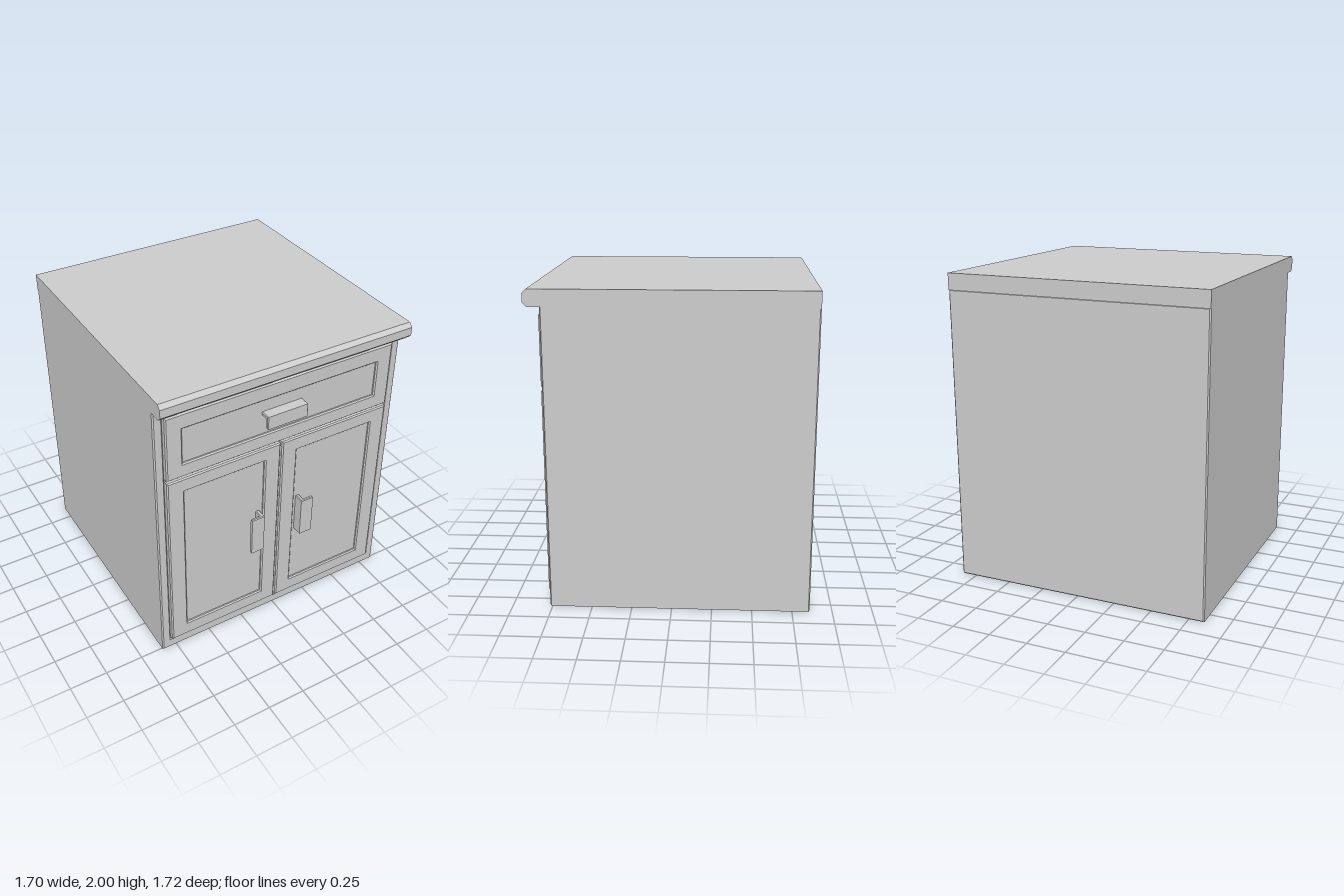
import * as THREE from 'three';

const grey = new THREE.MeshStandardMaterial({ color: 0xcccccc });

function polygon(points, Type = THREE.Shape) {
  return new Type(points.map(([x, y]) => new THREE.Vector2(x, y)));
}

function rectangle(x0, y0, x1, y1, Type) {
  return polygon([[x0, y0], [x1, y0], [x1, y1], [x0, y1]], Type);
}

// Extrude from z0 to z1 with a chamfer that stays inside the outline
function slab(shape, z0, z1, bevel) {
  const geometry = new THREE.ExtrudeGeometry(shape, {
    depth: z1 - z0 - 2 * bevel, bevelEnabled: bevel > 0, bevelThickness: bevel,
    bevelSize: bevel, bevelOffset: -bevel, bevelSegments: 1,
  });
  return geometry.translate(0, 0, z0 + bevel);
}

function part(parent, name, geometry) {
  const mesh = new THREE.Mesh(geometry, grey);
  mesh.name = name;
  parent.add(mesh);
  return mesh;
}

// Chamfered rectangular frame around a sunken panel
function framedFront(name, [x0, y0, x1, y1], [hx0, hy0, hx1, hy1]) {
  const group = new THREE.Group();
  group.name = name;
  const shape = rectangle(x0, y0, x1, y1);
  const b = 0.008;
  shape.holes.push(rectangle(hx0 + b, hy0 + b, hx1 - b, hy1 - b, THREE.Path));
  part(group, name + 'Frame', slab(shape, 0.735, 0.784, b));
  const panel = new THREE.BoxGeometry(hx1 - hx0 + 0.02, hy1 - hy0 + 0.02, 0.025);
  panel.translate((hx0 + hx1) / 2, (hy0 + hy1) / 2, 0.755);
  part(group, name + 'Panel', panel);
  return group;
}

// L-shaped pull: a ledge reaching out along +z with a lip hanging down
function handleGeometry() {
  const profile = polygon([
    [0.765, 0.02], [0.814, 0.02], [0.814, -0.045], [0.835, -0.045], [0.835, 0.045], [0.765, 0.045],
  ]);
  return slab(profile, -0.142, 0.142, 0.005).rotateY(-Math.PI / 2);
}

export function createModel() {
  const cabinet = new THREE.Group();
  cabinet.name = 'cabinet';

  // Carcass with a shallow front recess, closed by an inner block
  const carcass = rectangle(-0.85, 0, 0.85, 1.9);
  carcass.holes.push(rectangle(-0.79, 0.072, 0.79, 1.85, THREE.Path));
  part(cabinet, 'carcass', slab(carcass, -0.86, 0.765, 0.008));
  const inner = new THREE.BoxGeometry(1.62, 1.82, 1.605);
  part(cabinet, 'innerBlock', inner.translate(0, 0.961, -0.0575));

  // Countertop with a chamfered overhanging front edge
  const top = polygon([
    [-0.86, 1.895], [0.837, 1.895], [0.862, 1.92], [0.862, 1.975], [0.837, 2], [-0.86, 2],
  ]);
  part(cabinet, 'countertop', slab(top, -0.85, 0.85, 0).rotateY(-Math.PI / 2));

  // Drawer
  const drawer = framedFront('drawer', [-0.785, 1.4, 0.785, 1.845], [-0.685, 1.488, 0.685, 1.747]);
  const pull = handleGeometry();
  part(drawer, 'drawerHandle', pull).position.y = 1.61;
  cabinet.add(drawer);

  // Pair of doors, handles turned so their ledges face the middle
  for (const [name, s] of [['leftDoor', 1], ['rightDoor', -1]]) {
    const span = (a, b) => (s > 0 ? [a, b] : [-b, -a]);
    const [x0, x1] = span(0.006, 0.785);
    const [hx0, hx1] = span(0.108, 0.68);
    const door = framedFront(name, [x0, 0.08, x1, 1.385], [hx0, 0.173, hx1, 1.295]);
    const handle = part(door, name + 'Handle', pull);
    handle.position.set(s * 0.183, 0.757, 0);
    handle.rotation.z = s * Math.PI / 2;
    cabinet.add(door);
  }
  return cabinet;
}
